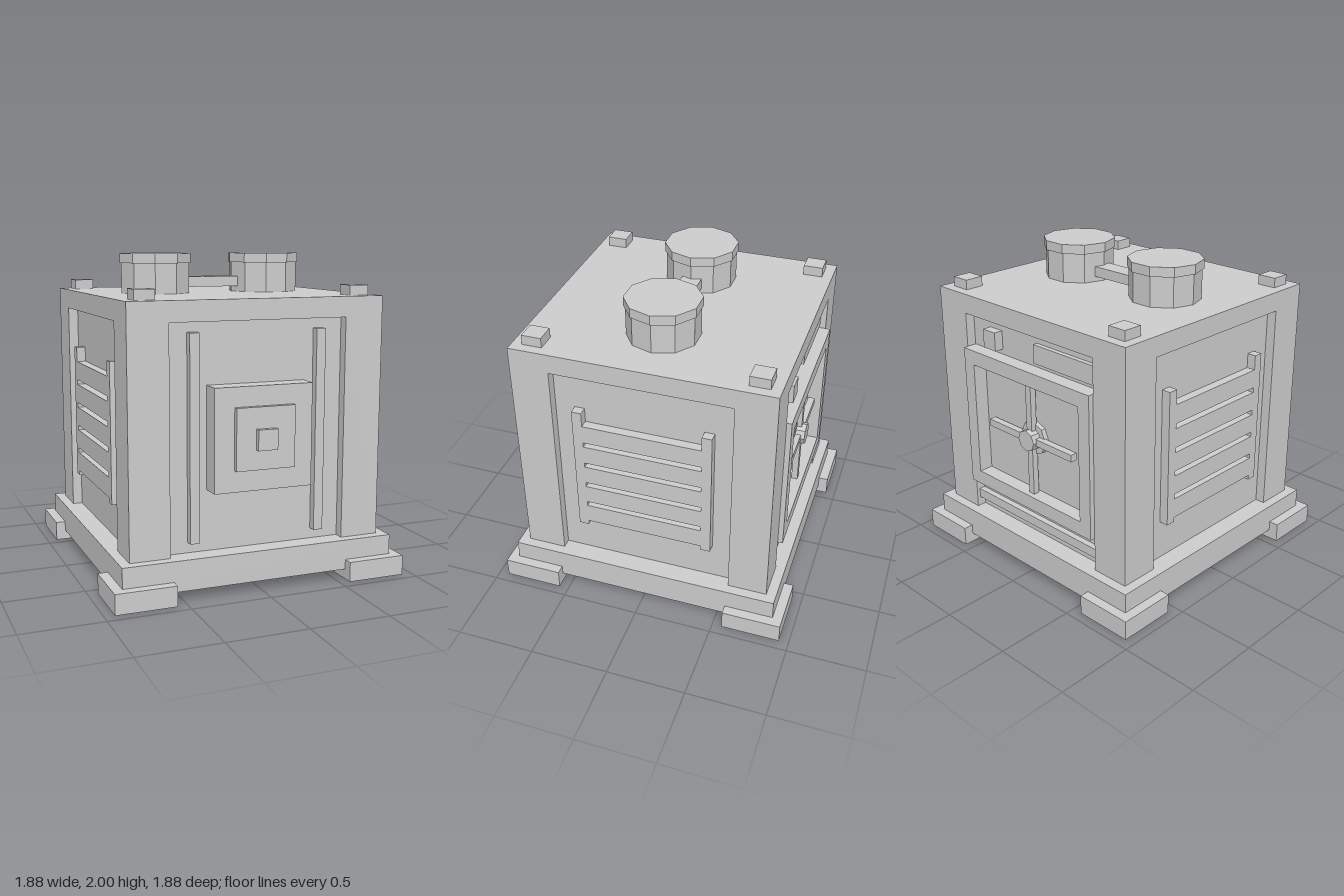
import * as THREE from 'three';

const grey = new THREE.MeshStandardMaterial({ color: 0xcccccc });
grey.name = 'grey metal';

function add(parent, name, geometry) {
  const mesh = new THREE.Mesh(geometry, grey);
  mesh.name = name;
  parent.add(mesh);
  return mesh;
}

// Box given by its lower and upper limits on each axis
function box(parent, name, x0, x1, y0, y1, z0, z1) {
  const mesh = add(parent, name, new THREE.BoxGeometry(x1 - x0, y1 - y0, z1 - z0));
  mesh.position.set((x0 + x1) / 2, (y0 + y1) / 2, (z0 + z1) / 2);
  return mesh;
}

const outline = (pts) => pts.map(([x, y]) => new THREE.Vector2(x, y));
const rect = (x0, x1, y0, y1) => outline([[x0, y0], [x1, y0], [x1, y1], [x0, y1]]);

function plate(points, holes, depth) {
  const shape = new THREE.Shape(points);
  for (const h of holes) shape.holes.push(new THREE.Path(h));
  return new THREE.ExtrudeGeometry(shape, { depth, bevelEnabled: false });
}

function prism(parent, name, radius, height, sides) {
  return add(parent, name, new THREE.CylinderGeometry(radius, radius, height, sides, 1, false, Math.PI / 2).toNonIndexed());
}

export function createModel() {
  const model = new THREE.Group();
  model.name = 'vault cabinet';
  const W = 0.8125, R = 0.75, P = 0.5625;

  // Plinth and corner feet
  box(model, 'plinth', -0.875, 0.875, 0.0625, 0.25, -0.875, 0.875);
  for (const sx of [-1, 1]) for (const sz of [-1, 1]) {
    const foot = box(model, 'foot', -0.1875, 0.1875, 0, 0.125, -0.1875, 0.1875);
    foot.position.x = sx * 0.75;
    foot.position.z = sz * 0.75;
    const stud = box(model, 'roofStud', -0.0625, 0.0625, 1.75, 1.8125, -0.0625, 0.0625);
    stud.position.x = sx * 0.685;
    stud.position.z = sz * 0.685;
  }

  // Body with a shallow recess in each of the four sides
  const footprint = [];
  for (let i = 0; i < 4; i++) {
    for (const [x, y] of [[W, -W], [W, -P], [R, -P], [R, P], [W, P]]) {
      footprint.push(new THREE.Vector2(x, y).rotateAround(new THREE.Vector2(), i * Math.PI / 2));
    }
  }
  const body = add(model, 'body', plate(footprint, [], 1.375));
  body.rotation.x = -Math.PI / 2;
  body.position.y = 0.25;
  box(model, 'roof', -W, W, 1.625, 1.75, -W, W);

  // Front rails and stepped lock block
  for (const s of [-1, 1]) {
    const rail = box(model, 'frontRail', -0.03, 0.03, 0.315, 1.5625, R, 0.8);
    rail.position.x = s * 0.405;
  }
  box(model, 'lockBlock', -0.3125, 0.3125, 0.625, 1.25, R, 0.875);
  box(model, 'lockPlate', -0.1875, 0.1875, 0.755, 1.13, 0.875, 0.906);
  box(model, 'lockButton', -0.0625, 0.0625, 0.875, 1.0, 0.906, 0.9375);

  // Slotted vents on both sides
  const ventOutline = outline([
    [-0.4375, 0.5], [-0.375, 0.5], [-0.375, 0.53], [0.375, 0.53], [0.375, 0.5], [0.4375, 0.5],
    [0.4375, 1.375], [0.375, 1.375], [0.375, 1.28], [-0.375, 1.28], [-0.375, 1.375], [-0.4375, 1.375],
  ]);
  const slots = [0, 1, 2, 3].map((i) => rect(-0.375, 0.375, 0.658 + i * 0.156, 0.69 + i * 0.156));
  for (const s of [-1, 1]) {
    const vent = add(model, 'sideVent', plate(ventOutline, slots, 0.058));
    vent.rotation.y = s * Math.PI / 2;
    vent.position.x = s * R;
  }

  // Back door: frame, cross handle and hub
  const door = new THREE.Group();
  door.name = 'backDoor';
  door.position.set(0, 0.9375, -R);
  door.rotation.y = Math.PI;
  model.add(door);
  add(door, 'doorFrame', plate(rect(-0.56, 0.56, -0.469, 0.469), [rect(-0.47, 0.47, -0.375, 0.375)], 0.094));
  box(door, 'crossBar', -0.375, 0.375, -0.023, 0.023, 0.02, 0.065);
  box(door, 'uprightBar', -0.023, 0.023, -0.375, 0.375, 0.02, 0.06);
  for (const [name, r, depth] of [['hubDisc', 0.11, 0.03], ['hub', 0.07, 0.09]]) {
    const hub = prism(door, name, r, depth, 8);
    hub.geometry.computeVertexNormals();
    hub.rotation.x = Math.PI / 2;
    hub.position.z = depth / 2;
  }

  // Small fittings above and below the door
  box(model, 'backLatch', 0.29, 0.4, 1.44, 1.56, -0.81, -R);
  box(model, 'backLabelPlate', -0.53, -0.03, 1.44, 1.56, -0.78, -R);
  box(model, 'backSill', -P, P, 0.3125, 0.375, -0.79, -R);

  // Twin ten-sided roof drums joined by a duct
  for (const s of [-1, 1]) {
    for (const [name, r, y0, y1] of [['drum', 0.225, 1.75, 1.94], ['drumCap', 0.235, 1.94, 2]]) {
      const drum = prism(model, name, r, y1 - y0, 10);
      drum.geometry.computeVertexNormals();
      drum.position.set(s * 0.375, (y0 + y1) / 2, 0);
    }
  }
  box(model, 'roofDuct', -0.2, 0.2, 1.785, 1.85, -0.0625, 0.0625);

  return model;
}
